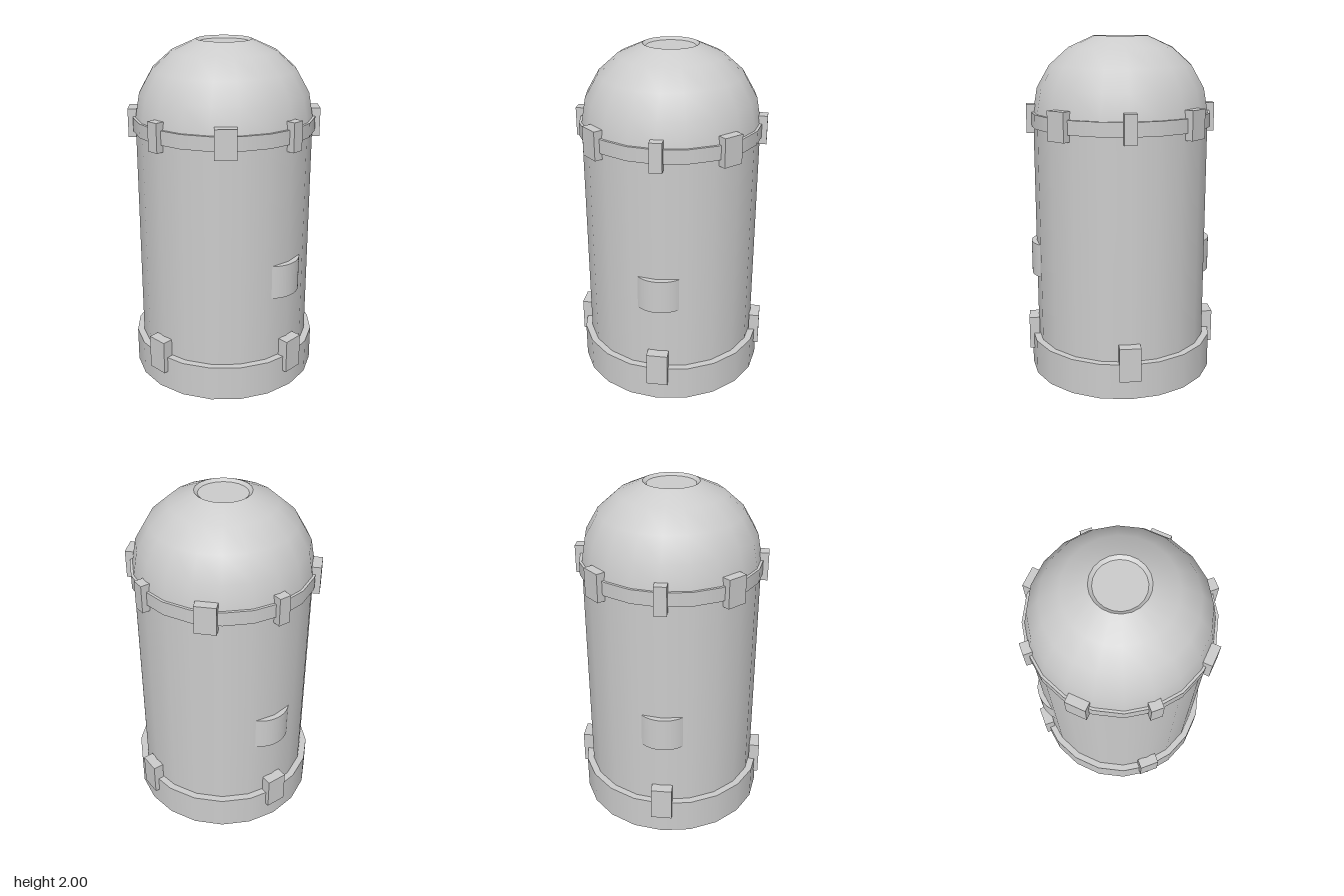
import * as THREE from 'three';

const SIDES = 20;
const material = new THREE.MeshStandardMaterial({ color: 0xcccccc });

export function createModel() {
  const model = new THREE.Group();

  function add(name, geometry, parent = model) {
    const mesh = new THREE.Mesh(geometry, material);
    mesh.name = name;
    parent.add(mesh);
    return mesh;
  }

  // Upright drum between two heights
  function drum(name, radius, bottom, top) {
    const mesh = add(name, new THREE.CylinderGeometry(radius, radius, top - bottom, SIDES));
    mesh.position.y = (bottom + top) / 2;
  }

  // Block clamped on the wall at a given angle around the axis
  function clip(name, angle, width, inner, outer, bottom, top) {
    const mesh = add(name, new THREE.BoxGeometry(width, top - bottom, outer - inner));
    const r = (inner + outer) / 2;
    mesh.position.set(Math.sin(angle) * r, (bottom + top) / 2, Math.cos(angle) * r);
    mesh.rotation.y = angle;
  }

  drum('base', 0.55, 0, 0.21);
  drum('body', 0.51, 0.21, 1.57);
  drum('collarBand', 0.525, 1.49, 1.57);

  // Slightly flattened dome, cut off at the top
  const profile = [];
  for (let i = 0; i <= 4; i++) {
    const a = (i * Math.PI) / 10;
    profile.push(new THREE.Vector2(0.51 * Math.cos(a), 1.57 + 0.452 * Math.sin(a)));
  }
  add('dome', new THREE.LatheGeometry(profile, SIDES));

  // Shallow recess in the crown: sloping rim and flat floor
  const rim = profile[4];
  const floor = new THREE.Vector2(0.138, rim.y - 0.015);
  add('crownRim', new THREE.LatheGeometry([rim, floor], SIDES));
  const lid = add('crownFloor', new THREE.CircleGeometry(floor.x, SIDES));
  lid.rotation.set(-Math.PI / 2, 0, 0);
  lid.position.y = floor.y;

  // Collar clips: narrow on the axes, wide on the diagonals
  for (let i = 0; i < 8; i++) {
    clip('collarClip', (i * Math.PI) / 4, i % 2 ? 0.12 : 0.07, 0.497, 0.55, 1.45, 1.615);
  }

  // Base clips on the four axes
  for (let i = 0; i < 4; i++) {
    clip('baseClip', (i * Math.PI) / 2, 0.122, 0.505, 0.567, 0.115, 0.315);
  }

  // Bulging panels, front and back: a circular segment extruded upward
  const half = 0.12, rise = 0.05;
  const radius = (half * half + rise * rise) / (2 * rise);
  const sweep = Math.asin(half / radius);
  const section = new THREE.Shape();
  section.absarc(0, rise - radius, radius, Math.PI / 2 - sweep, Math.PI / 2 + sweep, false);
  section.closePath();
  for (const turn of [0, Math.PI]) {
    const side = new THREE.Group();
    side.name = turn ? 'backPanel' : 'frontPanel';
    side.rotation.y = turn;
    const geometry = new THREE.ExtrudeGeometry(section, { depth: 0.2, bevelEnabled: false, curveSegments: 12 });
    geometry.rotateX(Math.PI / 2);
    add('panel', geometry, side).position.set(0, 0.795, 0.49);
    model.add(side);
  }

  return model;
}
